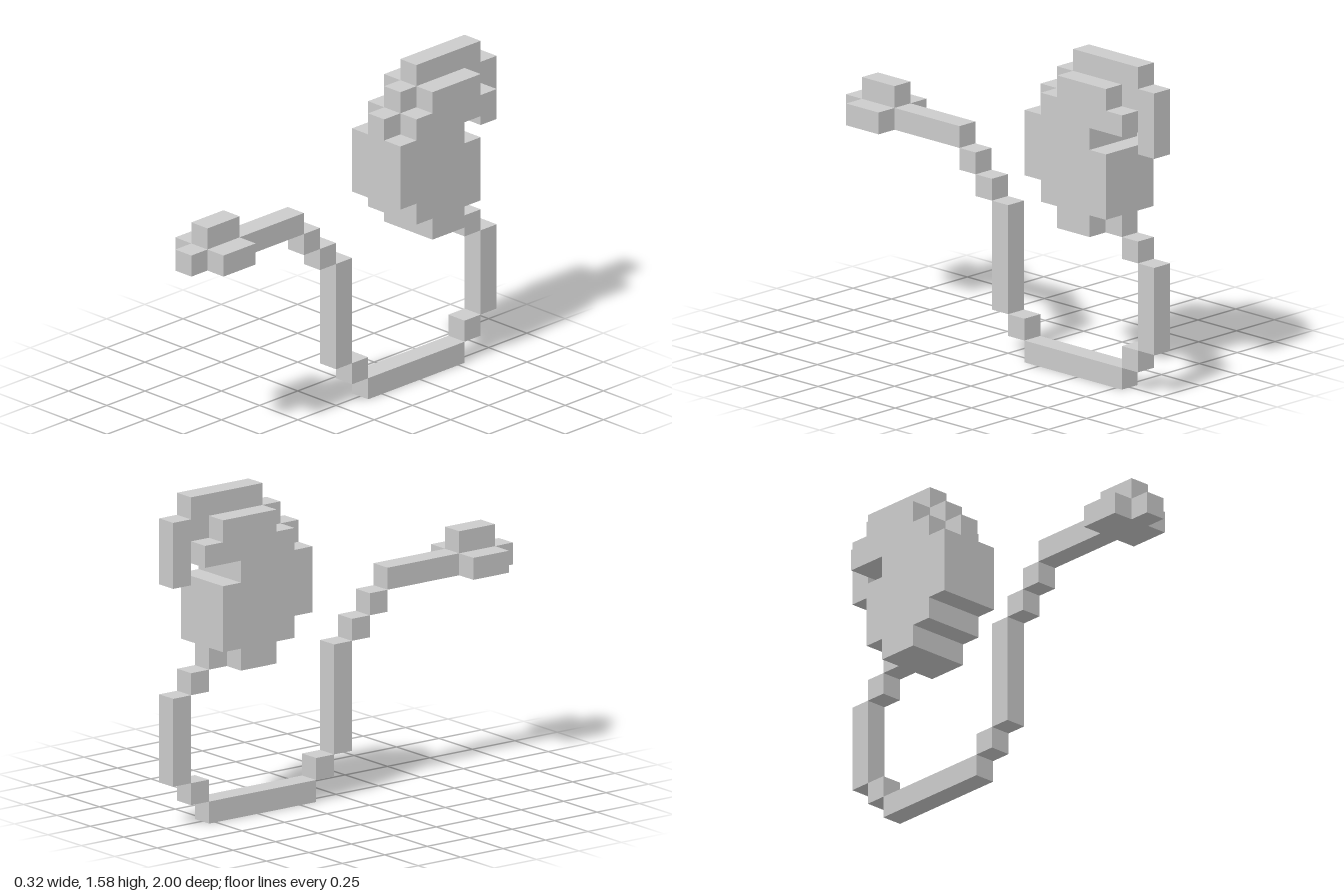
import * as THREE from 'three';

const U = 2 / 19; // one grid cell
const material = new THREE.MeshStandardMaterial({ color: 0xcccccc, flatShading: true });

// Box spanning grid cells k0..k1 along z (from the back) and j0..j1 along y, w cells wide in x
function block(name, k0, k1, j0, j1, w = 1) {
  const mesh = new THREE.Mesh(new THREE.BoxGeometry(w * U, (j1 - j0) * U, (k1 - k0) * U), material);
  mesh.position.set(0, (j0 + j1) / 2 * U, (k0 + k1) / 2 * U - 1);
  mesh.name = name;
  return mesh;
}

function part(name, rows) {
  const group = new THREE.Group();
  group.name = name;
  rows.forEach((r, i) => group.add(block(name + 'Block' + (i + 1), ...r)));
  return group;
}

export function createModel() {
  const model = new THREE.Group();
  model.name = 'blockModel';

  // Stepped body, three cells wide, extruded from its side outline (z cell, y cell)
  const outline = [
    [3, 7], [5, 7], [5, 8], [6, 8], [6, 9], [7, 9], [7, 12], [6, 12], [6, 13], [5, 13],
    [5, 14], [2, 14], [2, 13], [1, 13], [1, 12], [3, 12], [3, 11], [2, 11], [2, 8], [3, 8],
  ];
  const shape = new THREE.Shape(outline.map(([k, j]) => new THREE.Vector2(k * U - 1, j * U)));
  const geometry = new THREE.ExtrudeGeometry(shape, { depth: 3 * U, bevelEnabled: false });
  geometry.translate(0, 0, -1.5 * U).rotateY(-Math.PI / 2);
  const body = new THREE.Mesh(geometry, material);
  body.name = 'body';
  model.add(body);

  // Narrow crest over the top, ending in a hook at the back
  model.add(part('crest', [
    [6, 7, 12, 13],
    [5, 6, 13, 14],
    [1, 5, 14, 15],
    [1, 2, 13, 14],
    [0, 1, 11, 14],
  ]));

  // Cord, from under the body, along the ground and up to the front
  model.add(part('cord', [
    [2, 3, 7, 8],
    [1, 2, 6, 7],
    [0, 1, 2, 6],
    [1, 2, 1, 2],
    [2, 8, 0, 1],
    [8, 9, 1, 2],
    [9, 10, 2, 7],
    [10, 11, 7, 8],
    [11, 12, 8, 9],
    [12, 16, 9, 10],
  ]));

  // Cross-shaped end piece
  model.add(part('endPiece', [
    [16, 18, 9, 10, 3],
    [16, 18, 10, 11],
    [18, 19, 9, 10],
  ]));

  return model;
}
